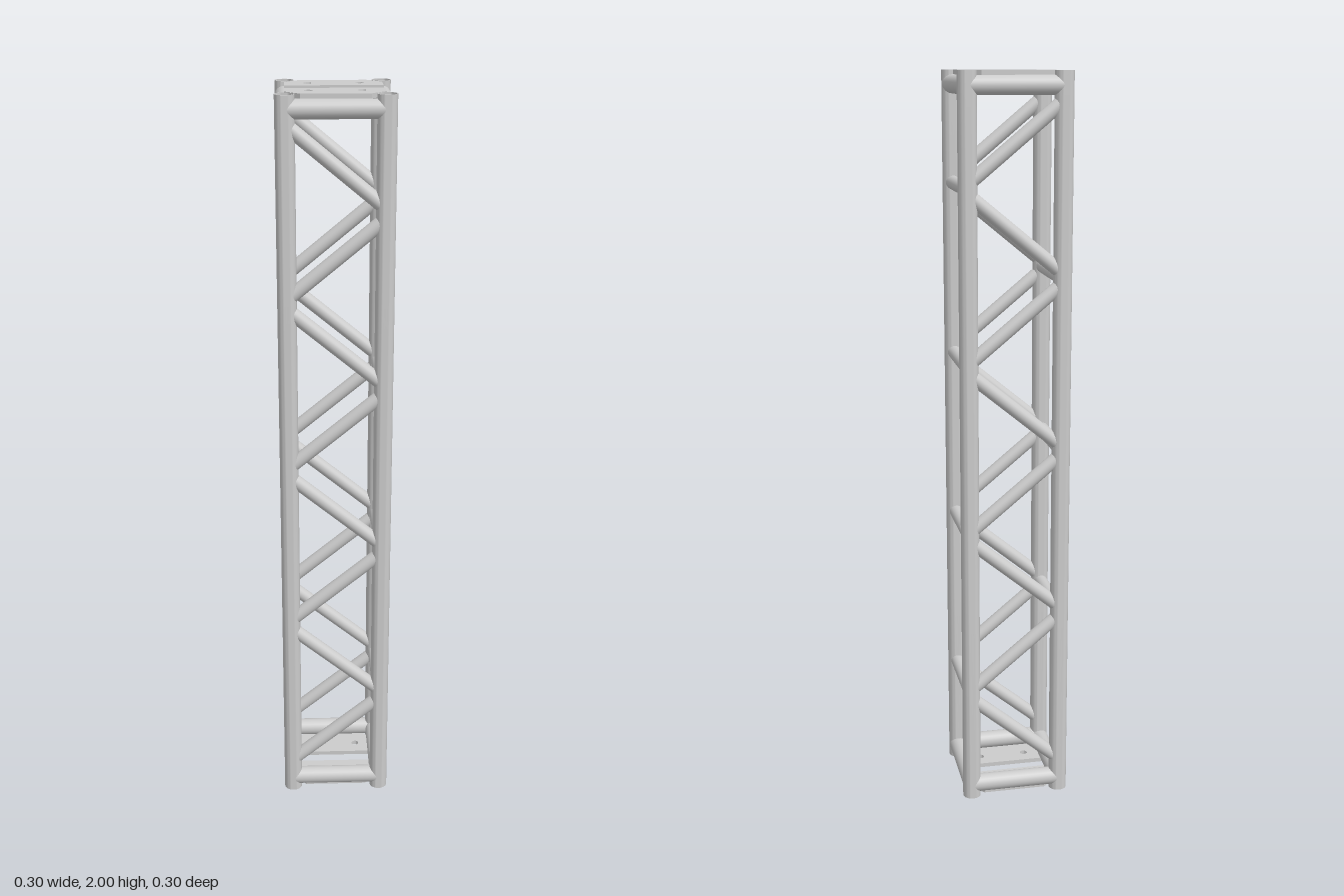
import * as THREE from 'three';
import { toCreasedNormals } from 'three/addons/utils/BufferGeometryUtils.js';

const C = 0.125;       // distance of the chord axes from the centre
const R = 0.025;       // chord radius
const STEP = 0.2325;   // height between lacing nodes
const material = new THREE.MeshStandardMaterial({ color: 0xcccccc });

function addMesh(parent, name, geometry, x = 0, y = 0, z = 0) {
  const mesh = new THREE.Mesh(geometry, material);
  mesh.name = name;
  mesh.position.set(x, y, z);
  parent.add(mesh);
  return mesh;
}

// Tube across one side from (-C, y0) to (C, y1), its ends coped to the round chords
function copedTube(y0, y1, radius) {
  const geometry = new THREE.CylinderGeometry(radius, radius, 1, 24, 1, true);
  geometry.rotateZ(-Math.PI / 2);
  const slope = (y1 - y0) / (2 * C);
  const angle = Math.atan(slope);
  const p = geometry.attributes.position;
  for (let i = 0; i < p.count; i++) {
    const end = Math.sign(p.getX(i));
    const z = p.getZ(i);
    const x = end * (C - Math.sqrt(R * R - z * z) + 0.0005);
    p.setXYZ(i, x, (y0 + y1) / 2 + slope * x + p.getY(i) / Math.cos(angle), z);
  }
  // The tube stays a true cylinder, so its normals only need tilting
  const n = geometry.attributes.normal;
  const v = new THREE.Vector3();
  const axis = new THREE.Vector3(0, 0, 1);
  for (let i = 0; i < n.count; i++) {
    v.fromBufferAttribute(n, i).applyAxisAngle(axis, angle);
    n.setXYZ(i, v.x, v.y, v.z);
  }
  return geometry;
}

// Hollow corner tube
function chordGeometry() {
  const ring = new THREE.Shape().absarc(0, 0, R, 0, Math.PI * 2);
  ring.holes.push(new THREE.Path().absarc(0, 0, R - 0.002, 0, Math.PI * 2, true));
  const geometry = new THREE.ExtrudeGeometry(ring, { depth: 2, bevelEnabled: false, curveSegments: 20 });
  geometry.rotateX(-Math.PI / 2);
  return toCreasedNormals(geometry, 0.7);
}

// End plate with two clipped corners and two bolt holes
function plateGeometry() {
  const shape = new THREE.Shape([
    [-0.125, 0.023], [0.125, 0.023], [0.125, 0.085],
    [0.087, 0.123], [-0.087, 0.123], [-0.125, 0.085],
  ].map(([x, y]) => new THREE.Vector2(x, y)));
  for (const x of [-0.066, 0.066]) {
    shape.holes.push(new THREE.Path().absarc(x, 0.066, 0.0105, 0, Math.PI * 2, true));
  }
  const geometry = new THREE.ExtrudeGeometry(shape, { depth: 0.012, bevelEnabled: false, curveSegments: 12 });
  geometry.translate(0, 0, -0.006);
  geometry.rotateX(-Math.PI / 2);
  return toCreasedNormals(geometry, 0.7);
}

export function createModel() {
  const model = new THREE.Group();
  model.name = 'trussSegment';

  // Four corner chords
  const chord = chordGeometry();
  for (const x of [-C, C]) for (const z of [-C, C]) addMesh(model, 'chord', chord, x, 0, z);

  // End frames: four cross tubes and two bolt plates each
  const frameTube = copedTube(0, 0, 0.0245);
  const plate = plateGeometry();
  for (const [name, tubeY, plateY] of [['bottomFrame', 0.036, 0.006], ['topFrame', 1.964, 1.994]]) {
    const frame = new THREE.Group();
    frame.name = name;
    model.add(frame);
    for (const s of [-1, 1]) {
      addMesh(frame, 'crossTube', frameTube, 0, tubeY, s * C);
      addMesh(frame, 'crossTube', frameTube, s * C, tubeY, 0).rotation.y = Math.PI / 2;
      addMesh(frame, 'boltPlate', plate, 0, plateY, 0).rotation.y = s > 0 ? 0 : Math.PI;
    }
  }

  // Zigzag diagonals on the front and back, stopping just short of each node
  const gap = 0.013;
  const nodeY = (i) => 1.01 + (4 - i) * STEP;
  for (let i = 0; i < 8; i++) {
    const high = nodeY(i) - gap, low = nodeY(i + 1) + gap;
    const diagonal = i % 2 === 0 ? copedTube(high, low, 0.0185) : copedTube(low, high, 0.0185);
    for (const z of [-C, C]) addMesh(model, 'diagonal', diagonal, 0, 0, z);
  }

  // Level rungs at the nodes, alternating between the two sides
  const rung = copedTube(0, 0, 0.0185);
  for (let i = 1; i < 8; i++) {
    addMesh(model, 'rung', rung, i % 2 ? C : -C, nodeY(i), 0).rotation.y = Math.PI / 2;
  }
  return model;
}
